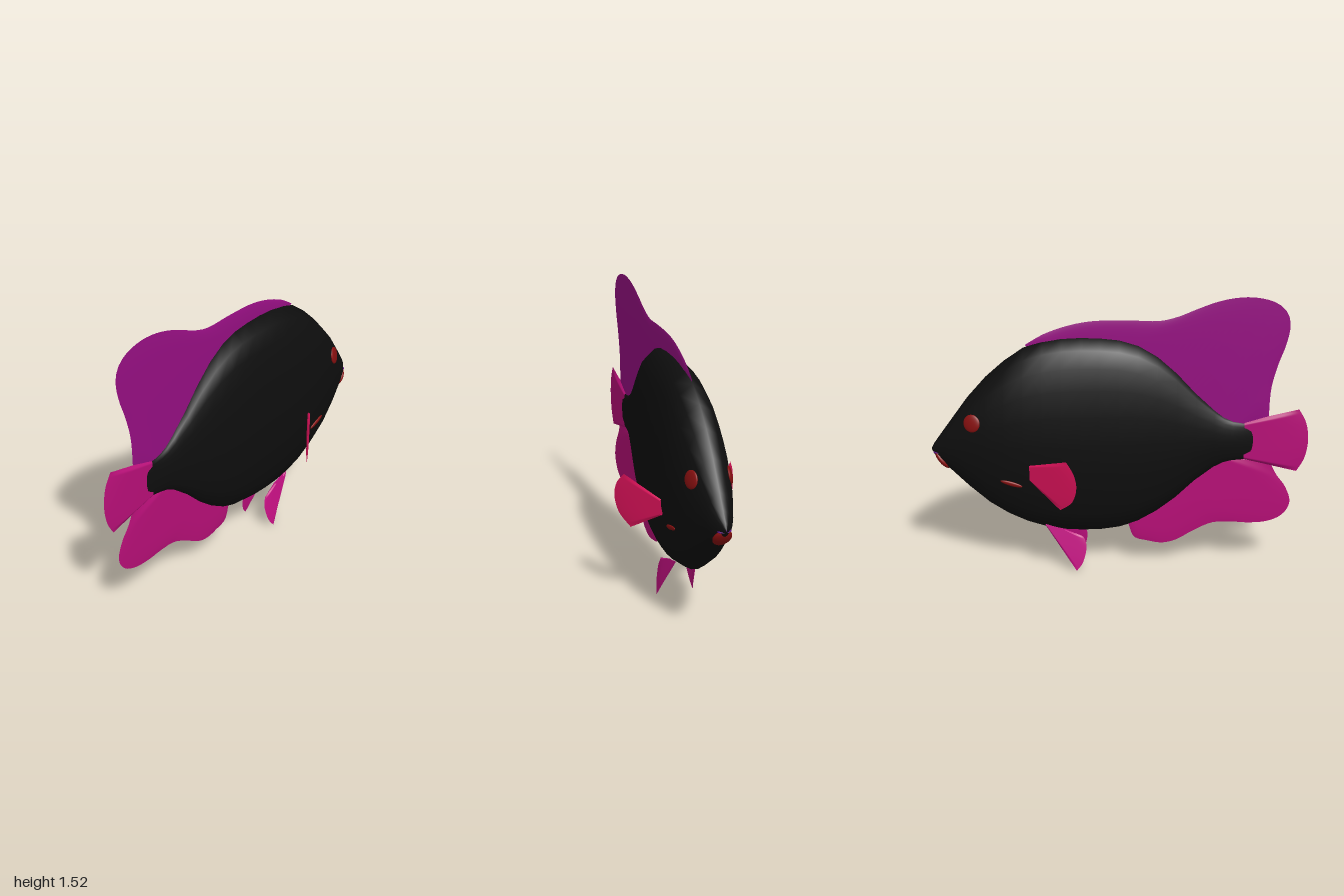
import * as THREE from 'three';

const mat = (name, color, side = THREE.FrontSide) => {
  const m = new THREE.MeshStandardMaterial({ color, side });
  m.name = name;
  return m;
};

// Body stations: z, top y, bottom y, half width (three short tables)
const Z = [-1, -0.985, -0.95, -0.9, -0.8, -0.7, -0.6, -0.5, -0.4, -0.3, -0.2, -0.1, 0, 0.1, 0.2, 0.3, 0.4, 0.5, 0.55, 0.6, 0.65, 0.7, 0.715, 0.725];
const TOP = [0.685, 0.715, 0.765, 0.835, 0.975, 1.09, 1.18, 1.25, 1.287, 1.306, 1.312, 1.31, 1.3, 1.27, 1.21, 1.12, 1.01, 0.915, 0.875, 0.853, 0.845, 0.845, 0.82, 0.74];
const BOT = [0.68, 0.65, 0.605, 0.565, 0.46, 0.37, 0.305, 0.258, 0.227, 0.21, 0.206, 0.21, 0.226, 0.26, 0.32, 0.4, 0.5, 0.58, 0.607, 0.62, 0.628, 0.63, 0.66, 0.74];
const WIDE = [0.003, 0.02, 0.045, 0.07, 0.106, 0.131, 0.148, 0.156, 0.157, 0.155, 0.15, 0.145, 0.137, 0.124, 0.106, 0.085, 0.064, 0.044, 0.035, 0.027, 0.021, 0.016, 0.012, 0.001];

// Half width of the body at a given height and depth
function bodyX(y, z) {
  let j = 0;
  while (j < Z.length - 2 && Z[j + 1] < z) j++;
  const f = (z - Z[j]) / (Z[j + 1] - Z[j]);
  const at = a => THREE.MathUtils.lerp(a[j], a[j + 1], f);
  const s = (y - (at(TOP) + at(BOT)) / 2) / ((at(TOP) - at(BOT)) / 2);
  return at(WIDE) * Math.sqrt(Math.max(0, 1 - s * s));
}

function grid(geoPos, rows, cols, closed, flip = false, index = [], offset = 0) {
  for (let j = 0; j < rows - 1; j++)
    for (let i = 0; i < (closed ? cols : cols - 1); i++) {
      const a = offset + j * cols + i, b = offset + j * cols + (i + 1) % cols;
      const c = a + cols, d = b + cols;
      if (flip) index.push(a, c, b, b, c, d);
      else index.push(a, b, c, b, d, c);
    }
  return index;
}

function build(pos, index) {
  const g = new THREE.BufferGeometry();
  g.setAttribute('position', new THREE.Float32BufferAttribute(pos, 3));
  g.setIndex(index);
  g.computeVertexNormals();
  return g;
}

// Elliptical rings lofted along z
function bodyGeometry() {
  const quarter = [0, 17, 33, 48, 64];
  const angles = [...quarter, 90, ...quarter.slice(1).reverse().map(a => 180 - a),
    ...quarter.map(a => 180 + a), 270, ...quarter.slice(1).reverse().map(a => 360 - a)];
  const pos = [];
  Z.forEach((z, j) => angles.forEach(deg => {
    const a = THREE.MathUtils.degToRad(deg);
    pos.push(WIDE[j] * Math.cos(a), (TOP[j] + BOT[j]) / 2 + (TOP[j] - BOT[j]) / 2 * Math.sin(a), z);
  }));
  return build(pos, grid(pos, Z.length, angles.length, true));
}

// Fin between a root curve and an outer curve, both [z, y], thinning to its rim
function finGeometry(root, rim, thick, xAt = () => 0) {
  const curve = pts => new THREE.SplineCurve(pts.map(p => new THREE.Vector2(...p)));
  const cr = curve(root), ce = curve(rim), N = 56, rows = [0, 0.25, 0.5, 0.7, 0.82, 0.9, 0.95, 1];
  const R = cr.getSpacedPoints(N), E = ce.getSpacedPoints(N), pos = [], index = [];
  for (const side of [1, -1]) {
    grid(pos, rows.length, N + 1, false, side < 0, index, pos.length / 3);
    for (const v of rows)
      for (let i = 0; i <= N; i++) {
        const p = R[i].clone().lerp(E[i], v), u = i / N;
        const t = thick * (1 - v ** 4) * Math.min(1, u / 0.06, (1 - u) / 0.06);
        pos.push(xAt(p.x, p.y) + side * t, p.y, p.x);
      }
  }
  return build(pos, index);
}

export function createModel() {
  const group = new THREE.Group();
  const black = mat('bodyBlack', 0x0e0e0e);
  const purple = mat('dorsalPurple', 0x960f82, THREE.DoubleSide);
  const magenta = mat('finMagenta', 0xb80f78, THREE.DoubleSide);
  const pink = mat('ventralPink', 0xc41082, THREE.DoubleSide);
  const crimson = mat('pectoralCrimson', 0xdc125a, THREE.DoubleSide);
  const red = mat('darkRed', 0x861010);
  const violet = mat('lipViolet', 0x5a1080);
  const add = (name, geo, material) => {
    const m = new THREE.Mesh(geo, material);
    m.name = name;
    group.add(m);
    return m;
  };

  add('body', bodyGeometry(), black);

  // Middle fins
  add('dorsalFin', finGeometry(
    [[-0.46, 1.24], [-0.2, 1.27], [0.1, 1.22], [0.4, 0.96], [0.6, 0.81], [0.69, 0.8]],
    [[-0.49, 1.265], [-0.4, 1.32], [-0.3, 1.36], [-0.2, 1.386], [-0.1, 1.398], [0.05, 1.4], [0.2, 1.397], [0.3, 1.42],
      [0.4, 1.462], [0.5, 1.5], [0.6, 1.522], [0.7, 1.524], [0.8, 1.498], [0.86, 1.445], [0.878, 1.37],
      [0.86, 1.27], [0.82, 1.15], [0.792, 1.02], [0.787, 0.86]], 0.007), purple);
  add('analFin', finGeometry(
    [[0.05, 0.3], [0.3, 0.46], [0.45, 0.6], [0.6, 0.64]],
    [[0.05, 0.24], [0.08, 0.165], [0.15, 0.143], [0.23, 0.13], [0.31, 0.15], [0.4, 0.205], [0.5, 0.253],
      [0.6, 0.26], [0.7, 0.255], [0.8, 0.265], [0.88, 0.305], [0.918, 0.38], [0.89, 0.47], [0.84, 0.54], [0.81, 0.6]],
    0.007), magenta);
  add('tailFin', finGeometry(
    [[0.66, 0.845], [0.66, 0.74], [0.66, 0.63]],
    [[0.945, 0.915], [0.985, 0.84], [1, 0.74], [0.985, 0.64], [0.945, 0.562]], 0.014), magenta);

  // Lip along the underside of the snout
  const ball = new THREE.SphereGeometry(1, 24, 16);
  const lip = add('lowerLip', ball, red);
  lip.position.set(0, 0.624, -0.943);
  lip.scale.set(0.048, 0.062, 0.022);
  lip.rotation.x = -0.65;
  const mouth = add('mouthLine', ball, violet);
  mouth.position.set(0, 0.668, -0.965);
  mouth.scale.set(0.036, 0.007, 0.028);

  // Flat ellipsoid resting on the flank
  const patch = (name, side, y, z, size, roll) => {
    const e = 0.01, x = bodyX(y, z), m = add(name, ball, red);
    m.position.set(side * x, y, z);
    const n = new THREE.Vector3(side, -side * side * (bodyX(y + e, z) - bodyX(y - e, z)) / (2 * e),
      -(bodyX(y, z + e) - bodyX(y, z - e)) / (2 * e));
    m.lookAt(n.add(m.position));
    m.rotateZ(side * roll);
    m.scale.set(...size);
  };

  // Paired parts
  for (const side of [1, -1]) {
    const label = side > 0 ? 'left' : 'right';
    patch(label + 'Eye', side, 0.865, -0.77, [0.047, 0.047, 0.012], 0);
    patch(label + 'GillMark', side, 0.537, -0.568, [0.06, 0.013, 0.008], 0.27);
    add(label + 'PectoralFin', finGeometry(
      [[-0.47, 0.65], [-0.47, 0.61], [-0.47, 0.565]],
      [[-0.27, 0.73], [-0.23, 0.67], [-0.217, 0.595], [-0.242, 0.51], [-0.305, 0.448]], 0.008,
      z => side * (0.152 + (z + 0.47) * 0.68)), crimson);
    add(label + 'VentralFin', finGeometry(
      [[-0.4, 0.262], [-0.34, 0.245], [-0.29, 0.235]],
      [[-0.23, 0.005], [-0.195, 0.055], [-0.177, 0.14], [-0.193, 0.197]], 0.008,
      (z, y) => side * (0.102 - 0.18 * y)), pink);
  }
  return group;
}
